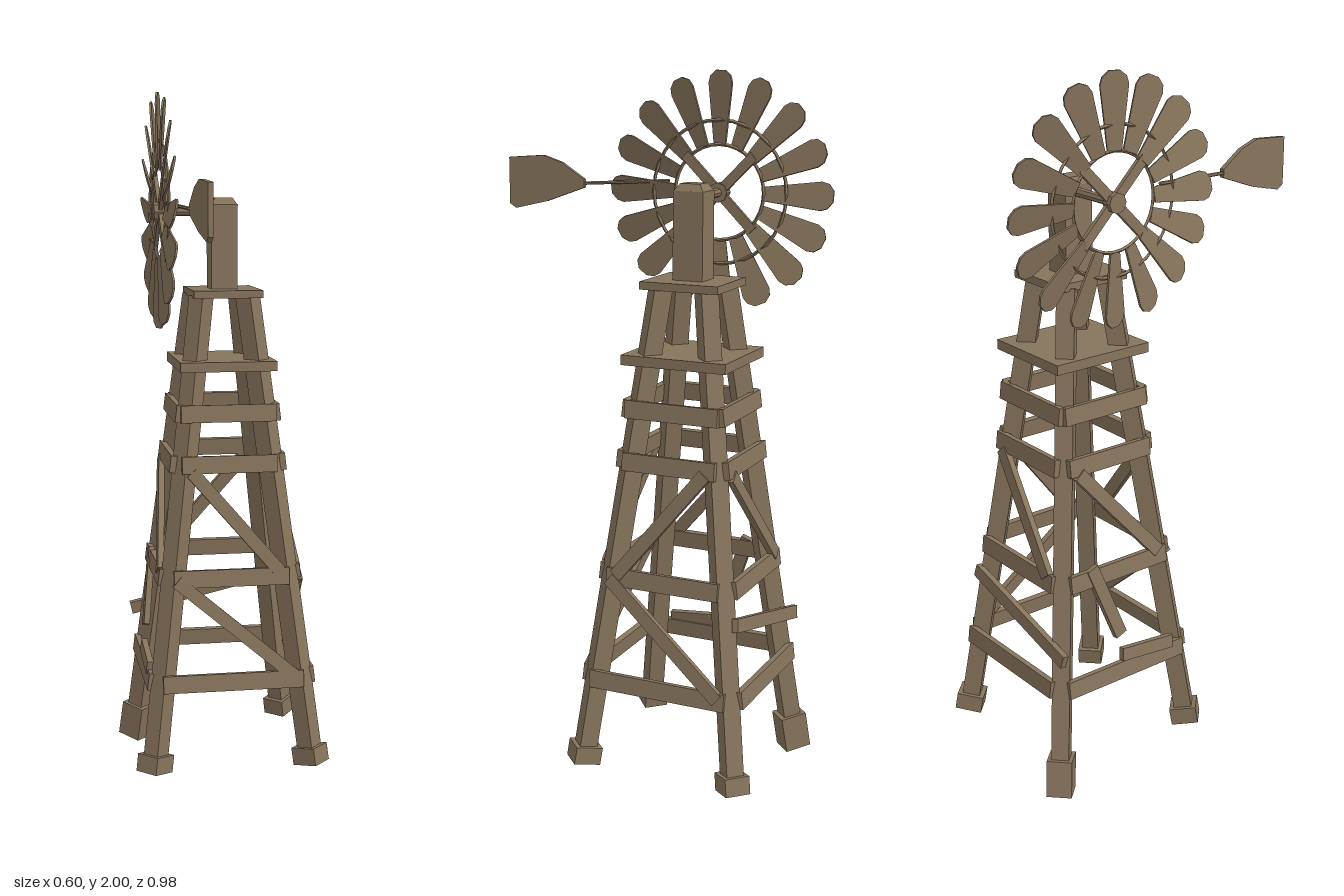
import * as THREE from 'three';

const wood = new THREE.MeshStandardMaterial({ color: 0x87745c, flatShading: true });
const V = (x, y, z) => new THREE.Vector3(x, y, z);

function add(parent, name, geometry, x = 0, y = 0, z = 0) {
  const mesh = new THREE.Mesh(geometry, wood);
  mesh.name = name;
  mesh.position.set(x, y, z);
  parent.add(mesh);
  return mesh;
}

// Box beam from a to b, its thin side facing "out"
function beam(parent, name, a, b, width, thickness, out) {
  const x = b.clone().sub(a), length = x.length();
  x.normalize();
  const z = out.clone().addScaledVector(x, -out.dot(x)).normalize();
  const y = z.clone().cross(x);
  const mid = a.clone().add(b).multiplyScalar(0.5);
  const mesh = add(parent, name, new THREE.BoxGeometry(length, width, thickness), mid.x, mid.y, mid.z);
  mesh.quaternion.setFromRotationMatrix(new THREE.Matrix4().makeBasis(x, y, z));
}

// Round rod from a to b
function rod(parent, name, a, b, radius, sides = 6) {
  const d = b.clone().sub(a), mid = a.clone().add(b).multiplyScalar(0.5);
  const mesh = add(parent, name, new THREE.CylinderGeometry(radius, radius, d.length(), sides), mid.x, mid.y, mid.z);
  mesh.quaternion.setFromUnitVectors(V(0, 1, 0), d.normalize());
}

// Half the distance between the legs at height y
const half = (y) => 0.228 - 0.121 * (y - 0.1);

function makeTower() {
  const tower = new THREE.Group();
  tower.name = 'tower';

  // Splayed legs with block feet; the back corner at -x reaches lower
  for (const sx of [-1, 1]) for (const sz of [-1, 1]) {
    const bottom = sx < 0 && sz < 0 ? 0.01 : 0.065;
    const at = (y) => V(sx * half(y), y, sz * half(y));
    const out = V(sx, 0, sz);
    beam(tower, 'leg', at(bottom + 0.02), at(1.425), 0.05, 0.052, out);
    beam(tower, 'foot', at(bottom), at(0.115), 0.072, 0.078, out);
  }

  // Rails and braces of each side: [x1, y1, x2, y2] seen from outside
  const upper = [-0.14, 0.63, 0.11, 0.94];
  const upperDown = [-0.11, 0.93, 0.14, 0.64];
  const lowerDown = [-0.16, 0.62, 0.185, 0.33];
  const sides = [
    { name: 'front', turn: 0, braces: [upperDown, lowerDown] },
    { name: 'left', turn: Math.PI / 2, braces: [upper, lowerDown] },
    { name: 'back', turn: Math.PI, braces: [upperDown, [0.25, 0.43, -0.19, 0.535]] },
    { name: 'right', turn: -Math.PI / 2, braces: [upperDown, [-0.095, 0.655, -0.015, 0.435], [0.165, 0.355, -0.015, 0.372]] },
  ];
  for (const { name, turn, braces } of sides) {
    const side = new THREE.Group();
    side.name = name + 'Bracing';
    side.rotation.y = turn;
    tower.add(side);
    const plank = (label, [x1, y1, x2, y2], width, lift) =>
      beam(side, label, V(x1, y1, half(y1) + lift), V(x2, y2, half(y2) + lift), width, 0.018, V(0, 0.121, 1));
    for (const [y, l] of [[0.325, 0.205], [0.625, 0.168], [0.95, 0.138], [1.095, 0.138]])
      plank('rail', [-l, y, l, y], 0.05, 0.035);
    braces.forEach((b) => plank('brace', b, 0.038, 0.039));
  }

  // Platforms and head post with chamfered top
  add(tower, 'lowerPlatform', new THREE.BoxGeometry(0.28, 0.028, 0.31), 0, 1.23, 0);
  add(tower, 'upperPlatform', new THREE.BoxGeometry(0.2, 0.022, 0.23), 0.005, 1.433, 0);
  add(tower, 'headPost', new THREE.BoxGeometry(0.077, 0.245, 0.088), 0.004, 1.5625, 0);
  const cap = new THREE.CylinderGeometry(0.036, 0.054, 0.02, 4).rotateY(Math.PI / 4).scale(1, 1, 1.14);
  add(tower, 'postCap', cap, 0.004, 1.695, 0);
  return tower;
}

function makeWheel() {
  const wheel = new THREE.Group();
  wheel.name = 'wheel';

  // Blade: widening sheet with a blunt, chamfered tip, slightly pitched
  const shape = new THREE.Shape();
  shape.moveTo(-0.02, 0.133);
  shape.lineTo(0.02, 0.133);
  shape.lineTo(0.04, 0.3);
  shape.lineTo(0.034, 0.32);
  shape.lineTo(0.015, 0.335);
  shape.lineTo(-0.015, 0.335);
  shape.lineTo(-0.034, 0.32);
  shape.lineTo(-0.04, 0.3);
  const blade = new THREE.ExtrudeGeometry(shape, { depth: 0.006, bevelEnabled: false });
  blade.translate(0, 0, -0.003).rotateY(-0.25);

  for (let i = 0; i < 16; i++)
    add(wheel, 'blade', blade).rotation.z = (i * Math.PI) / 8;

  // Rings tying the blades together
  for (const r of [0.133, 0.2])
    add(wheel, 'ring', new THREE.TorusGeometry(r, 0.005, 4, 32), 0, 0, -0.003);

  // Crossed spokes and hub
  for (const a of [Math.PI / 4, -Math.PI / 4])
    add(wheel, 'spoke', new THREE.BoxGeometry(0.29, 0.028, 0.012), 0, 0, -0.004).rotation.z = a;
  add(wheel, 'hub', new THREE.CylinderGeometry(0.028, 0.028, 0.03, 8).rotateX(Math.PI / 2));
  return wheel;
}

export function createModel() {
  const model = new THREE.Group();
  model.name = 'windPump';

  const tower = makeTower();
  tower.position.set(0, 0, -0.165);
  tower.rotation.y = 0.05;
  model.add(tower);

  const wheel = makeWheel();
  wheel.position.set(-0.182, 1.665, -0.153);
  wheel.rotation.y = -(Math.PI / 2 - 0.067);
  model.add(wheel);

  rod(model, 'shaft', V(0, 1.665, -0.165), V(-0.18, 1.665, -0.153), 0.013, 8);

  // Tail rod and vane
  rod(model, 'tailRod', V(-0.172, 1.692, 0), V(-0.122, 1.678, 0.26), 0.005);
  const vane = new THREE.Shape();
  vane.moveTo(0, 0.012);
  vane.lineTo(0.07, 0.058);
  vane.lineTo(0.13, 0.078);
  vane.lineTo(0.24, 0.07);
  vane.lineTo(0.24, -0.065);
  vane.lineTo(0.22, -0.078);
  vane.lineTo(0.12, -0.055);
  vane.lineTo(0, -0.012);
  const geometry = new THREE.ExtrudeGeometry(vane, { depth: 0.014, bevelEnabled: false }).translate(0, 0, -0.007);
  add(model, 'tailVane', geometry, -0.122, 1.678, 0.25).rotation.y = -(Math.PI / 2 - 0.11);

  return model;
}
